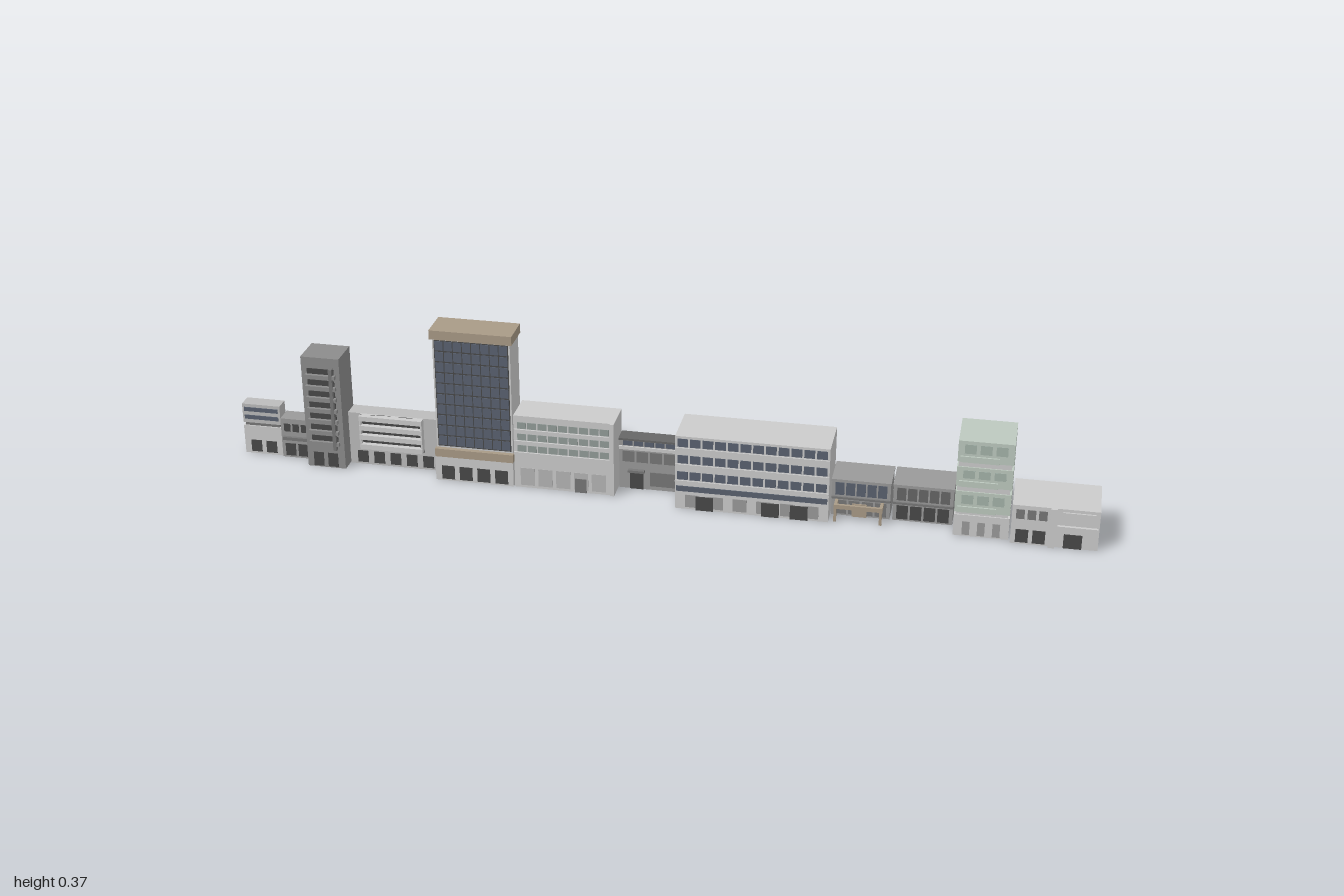
import * as THREE from 'three';

const GREY = 0xcccccc, MID = 0x999999, DARK = 0x777777, BLACK = 0x484848;
const GLASS = 0x59616f, TAN = 0xa89a86, PALE = 0xbcc8be;
const materials = new Map();
const unitBox = new THREE.BoxGeometry(1, 1, 1);

function material(color) {
  if (!materials.has(color)) materials.set(color, new THREE.MeshStandardMaterial({ color, flatShading: true }));
  return materials.get(color);
}

// box given by its extents on each axis
function box(parent, name, [x0, x1], [y0, y1], [z0, z1], color = GREY) {
  const mesh = new THREE.Mesh(unitBox, material(color));
  mesh.name = name;
  mesh.scale.set(x1 - x0, y1 - y0, z1 - z0);
  mesh.position.set((x0 + x1) / 2, (y0 + y1) / 2, (z0 + z1) / 2);
  parent.add(mesh);
  return mesh;
}

// thin panel on a front wall standing at z
function panel(parent, name, x, y, z, color = GLASS, depth = 0.002) {
  return box(parent, name, x, y, [z - 0.002, z + depth], color);
}

// evenly spaced front panels; fill is the share of each cell they cover
function panelGrid(parent, name, [x0, x1], [y0, y1], z, cols, rows, fillX, fillY, color = GLASS) {
  const w = (x1 - x0) / cols, h = (y1 - y0) / rows;
  for (let r = 0; r < rows; r++) for (let c = 0; c < cols; c++) {
    const cx = x0 + (c + 0.5) * w, cy = y0 + (r + 0.5) * h;
    panel(parent, name, [cx - w * fillX / 2, cx + w * fillX / 2], [cy - h * fillY / 2, cy + h * fillY / 2], z, color, 0.001);
  }
}

export function createModel() {
  const street = new THREE.Group();
  street.name = 'streetRow';
  const building = (name) => {
    const g = new THREE.Group();
    g.name = name;
    street.add(g);
    return g;
  };

  // small two-tier house at the right end
  let b = building('tieredHouse');
  box(b, 'lowerFloor', [-1, -0.907], [0, 0.072], [-0.056, -0.021]);
  box(b, 'recess', [-0.996, -0.911], [0.072, 0.08], [-0.054, -0.024], DARK);
  box(b, 'upperFloor', [-1, -0.907], [0.08, 0.128], [-0.056, -0.021], 0xbbbbbb);
  for (const y of [0.09, 0.11]) panel(b, 'windowBand', [-0.995, -0.912], [y, y + 0.01], -0.021);
  panelGrid(b, 'shopWindow', [-0.99, -0.915], [0.005, 0.035], -0.021, 2, 1, 0.7, 1, BLACK);

  // low dark shop
  b = building('lowShop');
  box(b, 'body', [-0.905, -0.832], [0, 0.1], [-0.06, -0.017], MID);
  box(b, 'awning', [-0.9, -0.835], [0.047, 0.055], [-0.02, -0.01], DARK);
  panelGrid(b, 'window', [-0.9, -0.837], [0.065, 0.09], -0.017, 3, 1, 0.75, 0.8, BLACK);
  panelGrid(b, 'shopWindow', [-0.9, -0.837], [0.003, 0.038], -0.017, 2, 1, 0.8, 0.9, BLACK);

  // slim dark tower with stacked balconies
  b = building('slimTower');
  box(b, 'body', [-0.83, -0.738], [0, 0.281], [-0.062, 0.016], 0x8c8c8c);
  panelGrid(b, 'window', [-0.818, -0.75], [0.06, 0.26], 0.016, 1, 7, 0.95, 0.55, BLACK);
  for (let i = 0; i < 7; i++) {
    const y = 0.06 + i * 0.0285;
    box(b, 'balcony', [-0.82, -0.748], [y, y + 0.009], [0.014, 0.025], 0x8c8c8c);
  }
  box(b, 'sideFin', [-0.762, -0.754], [0.05, 0.257], [0.014, 0.026], DARK);
  panelGrid(b, 'door', [-0.82, -0.75], [0.003, 0.038], 0.016, 2, 1, 0.7, 1, BLACK);

  // wide block with projecting long balconies
  b = building('balconyBlock');
  box(b, 'body', [-0.736, -0.515], [0, 0.132], [-0.06, -0.018], 0xbbbbbb);
  box(b, 'bay', [-0.705, -0.553], [0.046, 0.132], [-0.02, -0.012], BLACK);
  for (let i = 0; i < 4; i++) {
    const y = 0.048 + i * 0.024;
    box(b, 'balcony', [-0.705, -0.553], [y, y + 0.012], [-0.018, 0]);
  }
  for (const x of [-0.705, -0.557]) box(b, 'bayWall', [x, x + 0.004], [0.048, 0.132], [-0.018, -0.002]);
  panelGrid(b, 'shopWindow', [-0.725, -0.525], [0.005, 0.035], -0.018, 5, 1, 0.65, 1, BLACK);

  // tall glass tower on a podium
  b = building('glassTower');
  box(b, 'shaft', [-0.512, -0.33], [0, 0.353], [-0.058, 0.014]);
  box(b, 'podium', [-0.514, -0.328], [0, 0.06], [-0.058, 0.025]);
  box(b, 'podiumBand', [-0.514, -0.328], [0.06, 0.08], [-0.02, 0.025], TAN);
  box(b, 'roofCap', [-0.518, -0.325], [0.352, 0.374], [-0.061, 0.018], TAN);
  panel(b, 'mullions', [-0.508, -0.334], [0.084, 0.35], 0.014, BLACK, 0.001);
  panelGrid(b, 'glassPane', [-0.507, -0.335], [0.085, 0.35], 0.0155, 8, 10, 0.9, 0.86);
  panelGrid(b, 'shopWindow', [-0.505, -0.335], [0.004, 0.038], 0.025, 4, 1, 0.72, 1, BLACK);

  // pale office with window bands
  b = building('paleOffice');
  box(b, 'body', [-0.325, -0.09], [0, 0.182], [-0.06, 0.023]);
  for (let i = 0; i < 3; i++) {
    const y = 0.092 + i * 0.029;
    panelGrid(b, 'window', [-0.318, -0.1], [y, y + 0.016], 0.023, 9, 1, 0.86, 1, 0x929c98);
    box(b, 'sillBand', [-0.324, -0.095], [y - 0.007, y - 0.001], [0.02, 0.027]);
  }
  box(b, 'endPier', [-0.1, -0.09], [0, 0.182], [0.02, 0.027]);
  panelGrid(b, 'shopWindow', [-0.315, -0.105], [0.006, 0.05], 0.023, 5, 1, 0.8, 1, 0xb5b5b5);
  panel(b, 'door', [-0.182, -0.155], [0, 0.035], 0.023, DARK);

  // low dark-roofed shop
  b = building('darkShop');
  box(b, 'body', [-0.088, 0.053], [0, 0.122], [-0.056, -0.022], MID);
  box(b, 'roof', [-0.089, 0.054], [0.122, 0.127], [-0.06, -0.02], 0x666666);
  box(b, 'fascia', [-0.088, 0.053], [0.1, 0.108], [-0.024, -0.018]);
  panelGrid(b, 'window', [-0.08, 0.045], [0.11, 0.121], -0.022, 5, 1, 0.85, 1);
  panelGrid(b, 'upperWindow', [-0.082, 0.047], [0.068, 0.095], -0.022, 4, 1, 0.85, 1, DARK);
  box(b, 'doorCanopy', [-0.066, -0.028], [0.044, 0.05], [-0.024, -0.012], DARK);
  panel(b, 'door', [-0.063, -0.031], [0, 0.04], -0.022, BLACK);
  panel(b, 'shopWindow', [-0.015, 0.043], [0.01, 0.045], -0.022, DARK);

  // long three-storey office
  b = building('longOffice');
  box(b, 'body', [0.057, 0.406], [0, 0.182], [-0.063, 0.053]);
  for (let i = 0; i < 3; i++) {
    const y = 0.068 + i * 0.041;
    panelGrid(b, 'window', [0.06, 0.403], [y + 0.006, y + 0.026], 0.053, 12, 1, 0.84, 1);
    box(b, 'sillBand', [0.057, 0.406], [y, y + 0.004], [0.05, 0.056]);
  }
  panel(b, 'groundBand', [0.06, 0.403], [0.045, 0.058], 0.053, 0x59616f);
  panelGrid(b, 'shopWindow', [0.07, 0.395], [0.005, 0.036], 0.053, 6, 1, 0.6, 1, MID);
  for (const x of [0.105, 0.255, 0.32]) panel(b, 'door', [x, x + 0.04], [0, 0.034], 0.053, BLACK, 0.003);

  // pair of low dark shops, the first with an open porch frame
  [[0.408, 0.54], [0.546, 0.68]].forEach(([x0, x1], i) => {
    b = building(i ? 'twinShopLeft' : 'twinShopRight');
    box(b, 'body', [x0, x1], [0, 0.086], [-0.07, 0.012], MID);
    box(b, 'roof', [x0 - 0.001, x1 + 0.001], [0.086, 0.091], [-0.074, 0.016], MID);
    box(b, 'fascia', [x0, x1], [0.042, 0.047], [0.01, 0.016], DARK);
    panelGrid(b, 'upperWindow', [x0 + 0.006, x1 - 0.006], [0.051, 0.082], 0.012, 5, 1, 0.84, 1, i ? 0x666666 : GLASS);
    panelGrid(b, 'shopWindow', [x0 + 0.006, x1 - 0.006], [0.004, 0.038], 0.012, 4, 1, 0.84, 1, i ? BLACK : DARK);
    if (i) return;
    for (const x of [0.417, 0.519]) {
      box(b, 'porchRail', [x, x + 0.007], [0.032, 0.042], [0.012, 0.046], TAN);
      box(b, 'porchPost', [x, x + 0.006], [0, 0.034], [0.039, 0.046], TAN);
    }
    box(b, 'porchBeam', [0.417, 0.526], [0.032, 0.042], [0.039, 0.046], TAN);
    panel(b, 'door', [0.455, 0.488], [0, 0.032], 0.012, TAN, 0.004);
  });

  // stepped apartment tower with shallow joints between floors
  b = building('apartmentTower');
  box(b, 'core', [0.687, 0.802], [0, 0.232], [-0.057, 0.052], 0xc4c8c4);
  const floors = [[0, 0.052], [0.06, 0.11], [0.123, 0.17], [0.183, 0.233]];
  floors.forEach(([y0, y1], i) => {
    box(b, 'floor', [0.684, 0.806], [y0, y1], [-0.06, 0.055], i ? PALE : GREY);
    if (!i) return;
    panelGrid(b, 'window', [0.694, 0.796], [y0 + 0.02, y1 - 0.008], 0.055, 3, 1, 0.75, 1, 0xa3b2a9);
    box(b, 'balcony', [0.69, 0.775], [y0, y0 + 0.014], [0.052, 0.059], PALE);
  });
  panelGrid(b, 'door', [0.695, 0.795], [0.003, 0.036], 0.055, 3, 1, 0.5, 1, MID);

  // low corner shop
  b = building('cornerShop');
  box(b, 'body', [0.81, 1], [0, 0.095], [-0.061, 0.067]);
  box(b, 'frontPier', [0.893, 0.907], [0, 0.095], [0.065, 0.074]);
  box(b, 'awning', [0.91, 0.998], [0.05, 0.055], [0.065, 0.074]);
  panel(b, 'signBoard', [0.92, 0.99], [0.066, 0.088], 0.067, 0xdddddd, 0.004);
  panelGrid(b, 'upperWindow', [0.816, 0.89], [0.062, 0.085], 0.067, 3, 1, 0.75, 1, DARK);
  panelGrid(b, 'shopWindow', [0.816, 0.89], [0.004, 0.036], 0.067, 2, 1, 0.75, 1, BLACK);
  panel(b, 'door', [0.925, 0.965], [0, 0.034], 0.067, BLACK);

  return street;
}
